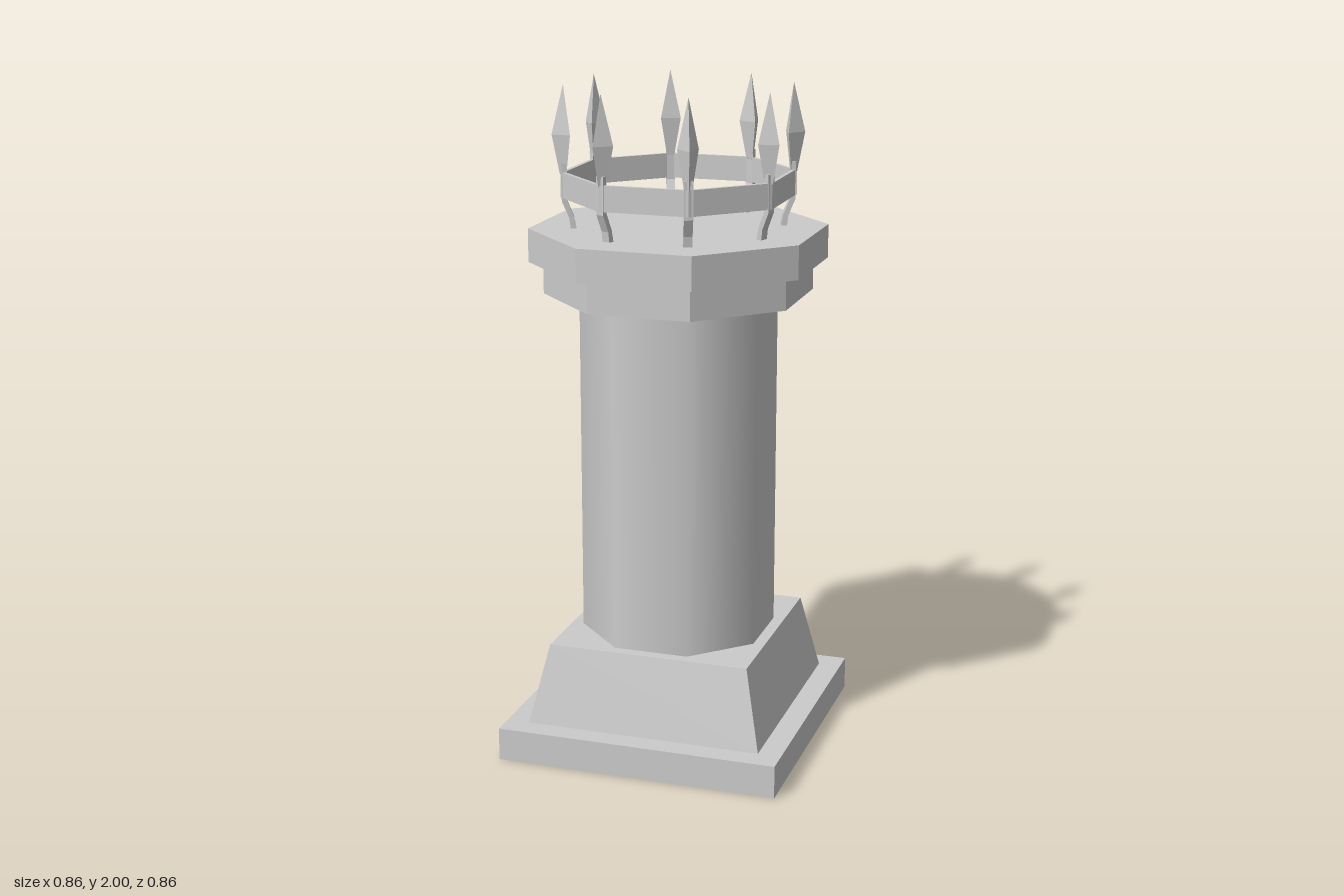
import * as THREE from 'three';

const COS8 = Math.cos(Math.PI / 8);

export function createModel() {
  const model = new THREE.Group();
  const flat = new THREE.MeshStandardMaterial({ color: 0xcccccc, flatShading: true });
  const flatDouble = new THREE.MeshStandardMaterial({ color: 0xcccccc, flatShading: true, side: THREE.DoubleSide });
  const smoothDouble = new THREE.MeshStandardMaterial({ color: 0xcccccc, side: THREE.DoubleSide });

  const add = (name, geometry, material, parent = model) => {
    const mesh = new THREE.Mesh(geometry, material);
    mesh.name = name;
    parent.add(mesh);
    return mesh;
  };

  // Eight-sided prism with flats facing the axes; size is the half-width across flats
  const octagonPrism = (size, y0, y1, open) =>
    new THREE.CylinderGeometry(size / COS8, size / COS8, y1 - y0, 8, 1, open, Math.PI / 8)
      .translate(0, (y0 + y1) / 2, 0);

  // Square plinth: low slab and tapered block, hollow underneath
  const plinthProfile = [[0.43, 0], [0.43, 0.1], [0.36, 0.1], [0.308, 0.34], [0, 0.34]]
    .map(([r, y]) => new THREE.Vector2(r * Math.SQRT2, y));
  add('plinth', new THREE.LatheGeometry(plinthProfile, 4, Math.PI / 4), flatDouble);

  // Shaft runs down into the hollow plinth
  add('shaft', octagonPrism(0.273, 0.16, 1.4, true), smoothDouble);

  // Stepped cap
  add('lowerCollar', octagonPrism(0.37, 1.385, 1.48), flat);
  add('upperCollar', octagonPrism(0.41, 1.48, 1.58), flat);

  // Thin band tying the spikes together
  const octagonPoints = (size) => Array.from({ length: 8 }, (_, i) => {
    const a = (i + 0.5) * Math.PI / 4;
    return new THREE.Vector2(Math.cos(a), Math.sin(a)).multiplyScalar(size / COS8);
  });
  const bandShape = new THREE.Shape(octagonPoints(0.32));
  bandShape.holes.push(new THREE.Path(octagonPoints(0.308)));
  const band = new THREE.ExtrudeGeometry(bandShape, { depth: 0.075, bevelEnabled: false });
  band.rotateX(-Math.PI / 2).translate(0, 1.67, 0);
  add('spikeBand', band, flat);

  // Bent stem: side outline (radius, height) given a small width
  const stemShape = new THREE.Shape([
    [0.3, 1.575], [0.318, 1.575], [0.322, 1.61], [0.343, 1.66], [0.343, 1.77],
    [0.329, 1.77], [0.329, 1.665], [0.308, 1.615],
  ].map(([r, y]) => new THREE.Vector2(r, y)));
  const stem = new THREE.ExtrudeGeometry(stemShape, { depth: 0.026, bevelEnabled: false });
  stem.translate(0, 0, -0.013).rotateY(-Math.PI / 2);

  // Three-sided spear head with one edge facing outward
  const headProfile = [[0, 1.735], [0.013, 1.74], [0.035, 1.855], [0, 2]]
    .map(([r, y]) => new THREE.Vector2(r, y));
  const head = new THREE.LatheGeometry(headProfile, 3).translate(0, 0, 0.335);

  for (let i = 0; i < 8; i++) {
    const spike = new THREE.Group();
    spike.name = 'spike';
    add('spikeStem', stem, flat, spike);
    add('spikeHead', head, flatDouble, spike);
    spike.rotation.y = (i + 0.5) * Math.PI / 4;
    model.add(spike);
  }

  return model;
}
